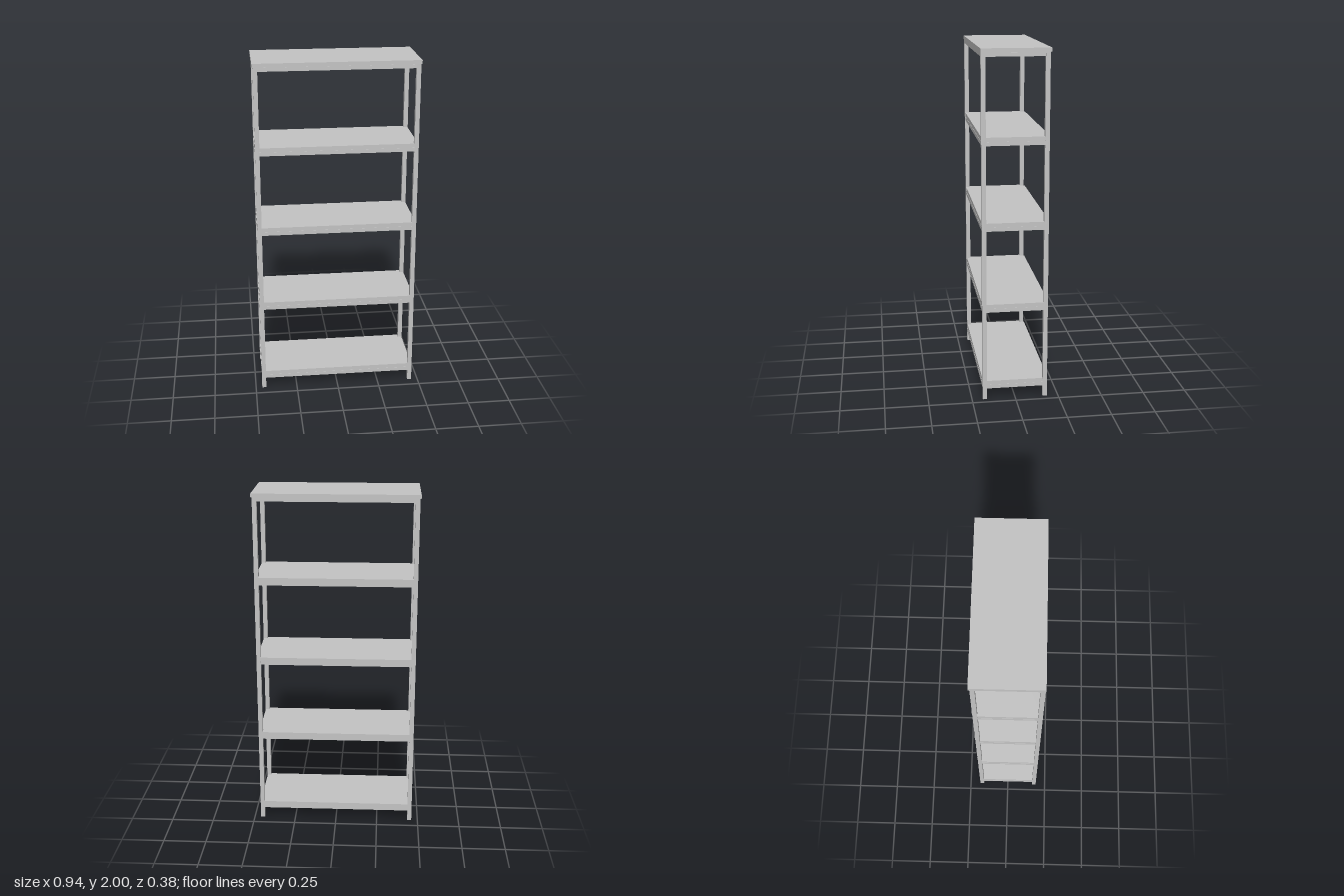
import * as THREE from 'three';

export function createModel() {
  const group = new THREE.Group();
  group.name = 'shelvingUnit';
  const metal = new THREE.MeshStandardMaterial({ color: 0xc4c4c4 });
  metal.name = 'grey metal';

  const box = (name, w, h, d, x, y, z) => {
    const mesh = new THREE.Mesh(new THREE.BoxGeometry(w, h, d), metal);
    mesh.name = name;
    mesh.position.set(x, y, z);
    group.add(mesh);
  };

  const T = 0.025;              // tube thickness
  const PX = 0.45;              // post centre in x
  const FZ = 0.176, BZ = -0.173; // front and back post centres in z
  const MZ = (FZ + BZ) / 2, DZ = FZ - BZ;
  const RH = 0.022;             // rail height

  // four corner posts
  for (const x of [-PX, PX]) for (const z of [FZ, BZ]) {
    box('post', T, 1.978, T, x, 0.989, z);
  }

  // rail frame under each shelf, running from post to post
  const railFrame = (top) => {
    const y = top - RH / 2;
    for (const z of [FZ, BZ]) box('longRail', 2 * PX - T, RH, T - 0.002, 0, y, z);
    for (const x of [-PX, PX]) box('sideRail', T - 0.002, RH, DZ - T, x, y, MZ);
  };

  // four shelves with a slim lip along the back edge
  for (const y of [0.087, 0.549, 1.022, 1.5]) {
    railFrame(y);
    box('shelf', 2 * PX + 0.02, 0.024, DZ + 0.02, 0, y + 0.012, MZ);
    box('shelfBackLip', 2 * PX - T, 0.024, 0.02, 0, y + 0.012, -0.181);
  }

  // top board overhanging the frame
  railFrame(1.977);
  box('topBoard', 0.936, 0.022, 0.384, 0, 1.989, -0.001);
  return group;
}
